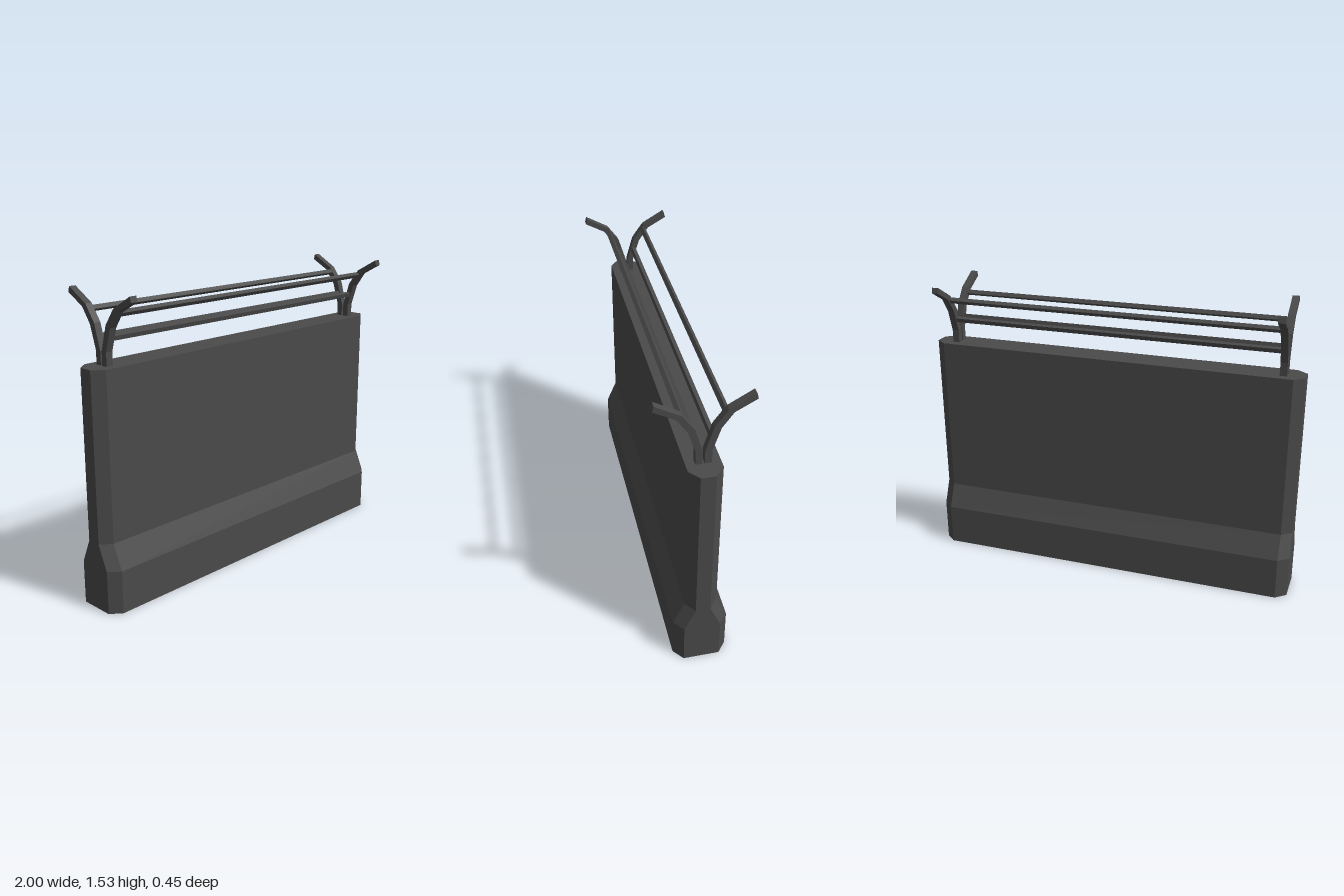
import * as THREE from 'three';

const darkGrey = new THREE.MeshStandardMaterial({ color: 0x4a4a4a, flatShading: true, side: THREE.DoubleSide });
darkGrey.name = 'darkGrey';

// Eight-cornered outline with chamfered ends, counter-clockwise seen from the front edge
function ring(y, zFlat, zEnd) {
  const half = [[-0.945, zFlat], [0.945, zFlat], [1, zEnd], [1, -zEnd]];
  return [...half, ...half.map(([x, z]) => [-x, -z])].map(([x, z]) => [x, y, z]);
}

// Hollow barrier shell: open underneath, closed on top
function barrierGeometry() {
  const rings = [ring(0, 0.135, 0.09), ring(0.22, 0.135, 0.09), ring(0.345, 0.08, 0.036), ring(1.19, 0.08, 0.036)];
  const n = rings[0].length;
  const index = [];
  for (let r = 0; r < rings.length - 1; r++) {
    for (let i = 0; i < n; i++) {
      const a = r * n + i, b = r * n + (i + 1) % n;
      index.push(a, b, b + n, a, b + n, a + n);
    }
  }
  const top = (rings.length - 1) * n;
  for (let i = 1; i < n - 1; i++) index.push(top, top + i, top + i + 1);
  const indexed = new THREE.BufferGeometry();
  indexed.setAttribute('position', new THREE.Float32BufferAttribute(rings.flat(2), 3));
  indexed.setIndex(index);
  const geometry = indexed.toNonIndexed();
  geometry.computeVertexNormals();
  return geometry;
}

// Bent flat bracket, drawn in (z, y) and extruded along x
function bracketGeometry(width) {
  const profile = [
    [0.037, 1.188], [0.037, 1.257], [0.073, 1.372], [0.126, 1.447], [0.226, 1.502],
    [0.219, 1.53], [0.101, 1.463], [0.042, 1.382], [0.005, 1.257], [0.005, 1.188],
  ];
  const shape = new THREE.Shape(profile.map(([z, y]) => new THREE.Vector2(-z, y)));
  const geometry = new THREE.ExtrudeGeometry(shape, { depth: width, bevelEnabled: false });
  geometry.translate(0, 0, -width / 2);
  geometry.rotateY(Math.PI / 2);
  return geometry;
}

export function createModel() {
  const model = new THREE.Group();
  model.name = 'roadBarrier';

  const add = (parent, geometry, name) => {
    const mesh = new THREE.Mesh(geometry, darkGrey);
    mesh.name = name;
    parent.add(mesh);
    return mesh;
  };

  add(model, barrierGeometry(), 'barrierBody');

  // Two outward-curving rail frames, the back one turned half round
  const bracket = bracketGeometry(0.036);
  const rod = new THREE.BoxGeometry(1.75, 0.022, 0.022);
  for (const side of ['front', 'back']) {
    const frame = new THREE.Group();
    frame.name = side + 'RailFrame';
    for (const x of [-0.89, 0.89]) {
      add(frame, bracket, x > 0 ? 'bracketA' : 'bracketB').position.x = x;
    }
    // Rods follow the slope of the bracket
    for (const [name, y, z, tilt] of [['lowerRod', 1.32, 0.04, 0.27], ['upperRod', 1.438, 0.098, 0.64]]) {
      const mesh = add(frame, rod, name);
      mesh.position.set(0, y, z);
      mesh.rotation.x = tilt;
    }
    if (side === 'back') frame.rotation.y = Math.PI;
    model.add(frame);
  }
  return model;
}
